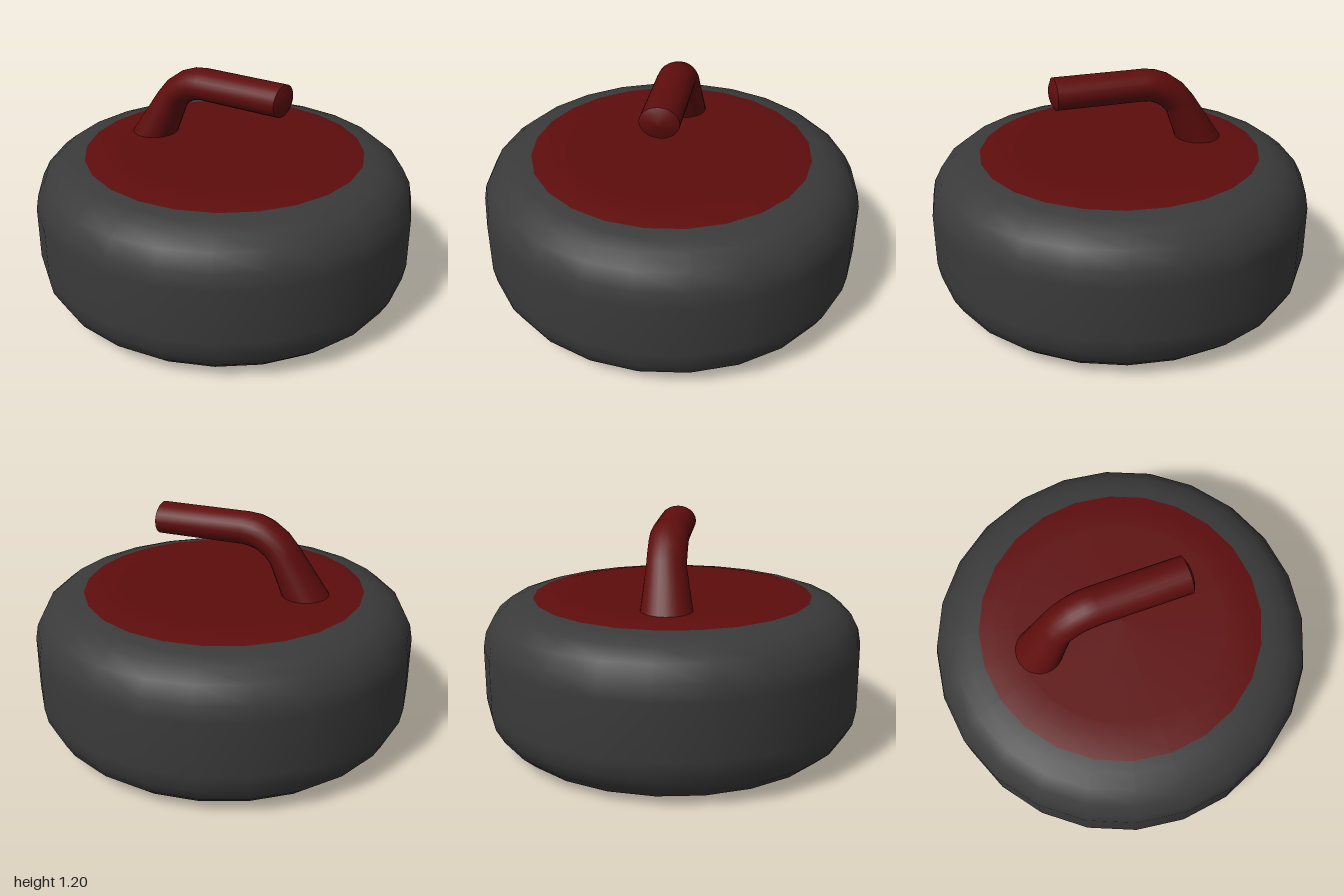
import * as THREE from 'three';

const SIDES = 24;

// Smooth skin through elliptical sections, each given as [topX, topY, bottomX, bottomY, halfWidth, z]
function loft(sections) {
  const positions = [], index = [];
  for (const [tx, ty, bx, by, w, z] of sections) {
    for (let j = 0; j < SIDES; j++) {
      const a = (j / SIDES) * Math.PI * 2;
      const c = Math.cos(a) / 2;
      positions.push((tx + bx) / 2 + c * (tx - bx), (ty + by) / 2 + c * (ty - by), z + w * Math.sin(a));
    }
  }
  for (let i = 0; i < sections.length - 1; i++) {
    for (let j = 0; j < SIDES; j++) {
      const k = (j + 1) % SIDES;
      const a = i * SIDES + j, b = i * SIDES + k;
      index.push(a, b, a + SIDES, b, b + SIDES, a + SIDES);
    }
  }
  const geometry = new THREE.BufferGeometry();
  geometry.setAttribute('position', new THREE.Float32BufferAttribute(positions, 3));
  geometry.setIndex(index);
  geometry.computeVertexNormals();
  return geometry;
}

function lathe(profile) {
  return new THREE.LatheGeometry(profile.map(([r, y]) => new THREE.Vector2(r, y)), SIDES);
}

export function createModel() {
  const granite = new THREE.MeshStandardMaterial({ color: 0x3a3a3a, side: THREE.DoubleSide });
  granite.name = 'dark granite';
  const red = new THREE.MeshStandardMaterial({ color: 0x5e0d0d, side: THREE.DoubleSide });
  red.name = 'deep red';

  const model = new THREE.Group();
  model.name = 'curlingStone';
  const add = (name, geometry, material, parent = model) => {
    const mesh = new THREE.Mesh(geometry, material);
    mesh.name = name;
    parent.add(mesh);
  };

  // Hollow rounded body, open underneath
  add('stoneBody', lathe([
    [0.8, 0], [0.875, 0.03], [0.943, 0.09], [0.985, 0.165], [1, 0.25],
    [1, 0.53], [0.985, 0.61], [0.943, 0.69], [0.875, 0.745], [0.8, 0.77], [0.735, 0.782],
  ]), granite);

  // Slightly crowned top disc
  add('topDisc', lathe([[0.735, 0.782], [0.65, 0.797], [0.55, 0.8], [0, 0.8]]), red);

  // Bent handle flaring out at its foot
  const handle = new THREE.Group();
  handle.name = 'handle';
  model.add(handle);
  add('handleGrip', loft([
    [-0.57, 0.795, -0.325, 0.795, 0.13, 0.012],
    [-0.405, 1.04, -0.265, 0.955, 0.1, 0],
    [-0.345, 1.11, -0.235, 0.99, 0.1, 0],
    [-0.265, 1.167, -0.195, 1.017, 0.1, 0],
    [-0.195, 1.193, -0.16, 1.03, 0.1, 0],
    [-0.13, 1.2, -0.12, 1.035, 0.1, 0],
    [0.345, 1.2, 0.345, 1.035, 0.1, 0],
  ]), red, handle);

  // Shallow domed end
  add('handleEnd', loft([
    [0.345, 1.2, 0.345, 1.035, 0.1, 0],
    [0.362, 1.165, 0.362, 1.07, 0.058, 0],
    [0.368, 1.1175, 0.368, 1.1175, 0, 0],
  ]), red, handle);

  return model;
}
